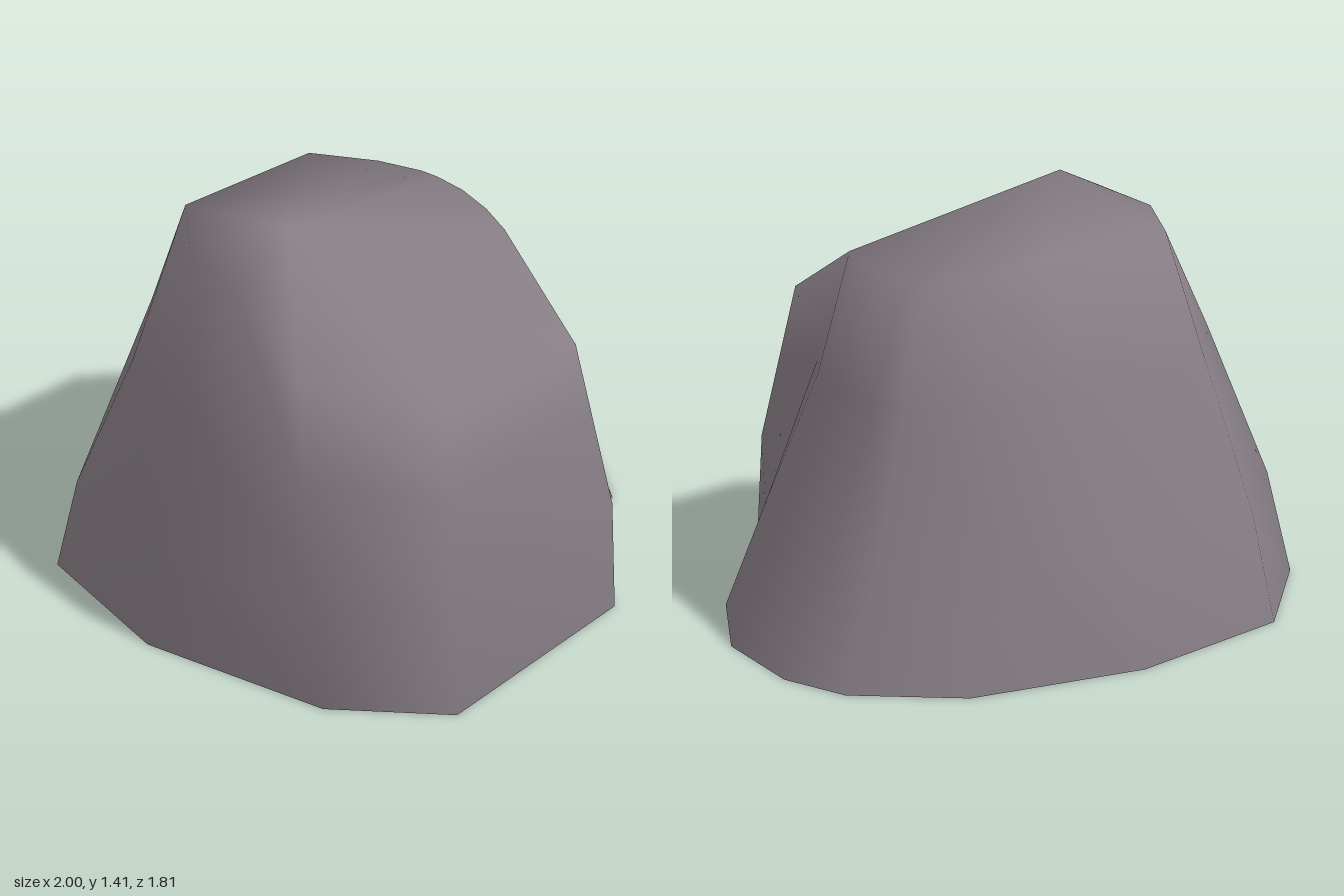
import * as THREE from 'three';

// Rings from ground to shoulder, [x, y, z], starting at the notch and running clockwise seen from above
const base = [
  [0.48, 0, 0.54], [0.27, 0, 0.88], [-0.51, 0, 0.90], [-0.80, 0, 0.58], [-1, 0, -0.06],
  [-0.95, 0, -0.61], [-0.52, 0, -0.91], [0.10, 0, -0.91], [0.67, 0, -0.71],
  [0.94, 0, -0.43], [1, 0, -0.20], [0.95, 0, 0.14], [0.73, 0, 0.46],
];
const waist = [
  [0.45, 0.36, 0.50], [0.26, 0.42, 0.85], [-0.49, 0.42, 0.86], [-0.79, 0.38, 0.545], [-0.96, 0.36, -0.05],
  [-0.89, 0.36, -0.54], [-0.50, 0.36, -0.82], [0.10, 0.36, -0.82], [0.48, 0.36, -0.70],
  [0.76, 0.37, -0.38], [0.80, 0.36, -0.19], [0.78, 0.36, 0.10], [0.63, 0.36, 0.36],
];
const shoulder = [
  [0.32, 1.20, 0.27], [0.22, 0.99, 0.69], [-0.39, 1.01, 0.71], [-0.70, 1.14, 0.38], [-0.70, 1.31, 0.12],
  [-0.61, 1.30, -0.22], [-0.42, 1.28, -0.47], [0.13, 1.265, -0.47], [0.33, 1.21, -0.34],
  [0.42, 1.185, -0.22], [0.43, 1.185, -0.15], [0.42, 1.19, -0.02], [0.38, 1.195, 0.13],
];
const peak = [-0.43, 1.41, 0.04];

export function createModel() {
  // Slightly bulging ring between waist and shoulder on the -x side
  const chest = waist.map((w, i) => {
    const p = w.map((v, k) => v + (shoulder[i][k] - v) * 0.55);
    if (p[0] < -0.6) p[0] -= 0.02;
    return p;
  });
  const rings = [base, waist, chest, shoulder];
  const n = base.length;
  const positions = [];
  for (const ring of rings) {
    for (let c = 0; c <= n; c++) positions.push(...ring[c % n]);
  }
  const top = positions.length / 3;
  positions.push(...peak);

  // The seam stays split at the ground only, giving the notch a crease that fades upward
  const id = (r, c) => r * (n + 1) + (r === 0 ? c : c % n);
  const index = [];
  for (let c = 0; c < n; c++) {
    for (let r = 0; r < rings.length - 1; r++) {
      const a = id(r, c), b = id(r, c + 1), d = id(r + 1, c), e = id(r + 1, c + 1);
      index.push(a, d, e, a, e, b);
    }
    index.push(id(3, c + 1), id(3, c), top);
  }

  const geometry = new THREE.BufferGeometry();
  geometry.setAttribute('position', new THREE.Float32BufferAttribute(positions, 3));
  geometry.setIndex(index);
  geometry.computeVertexNormals();

  const stone = new THREE.MeshStandardMaterial({ color: 0x857c84, side: THREE.DoubleSide });
  stone.name = 'greyStone';

  // Open-bottomed boulder shell
  const boulder = new THREE.Mesh(geometry, stone);
  boulder.name = 'boulder';
  const group = new THREE.Group();
  group.name = 'rock';
  group.add(boulder);
  return group;
}
